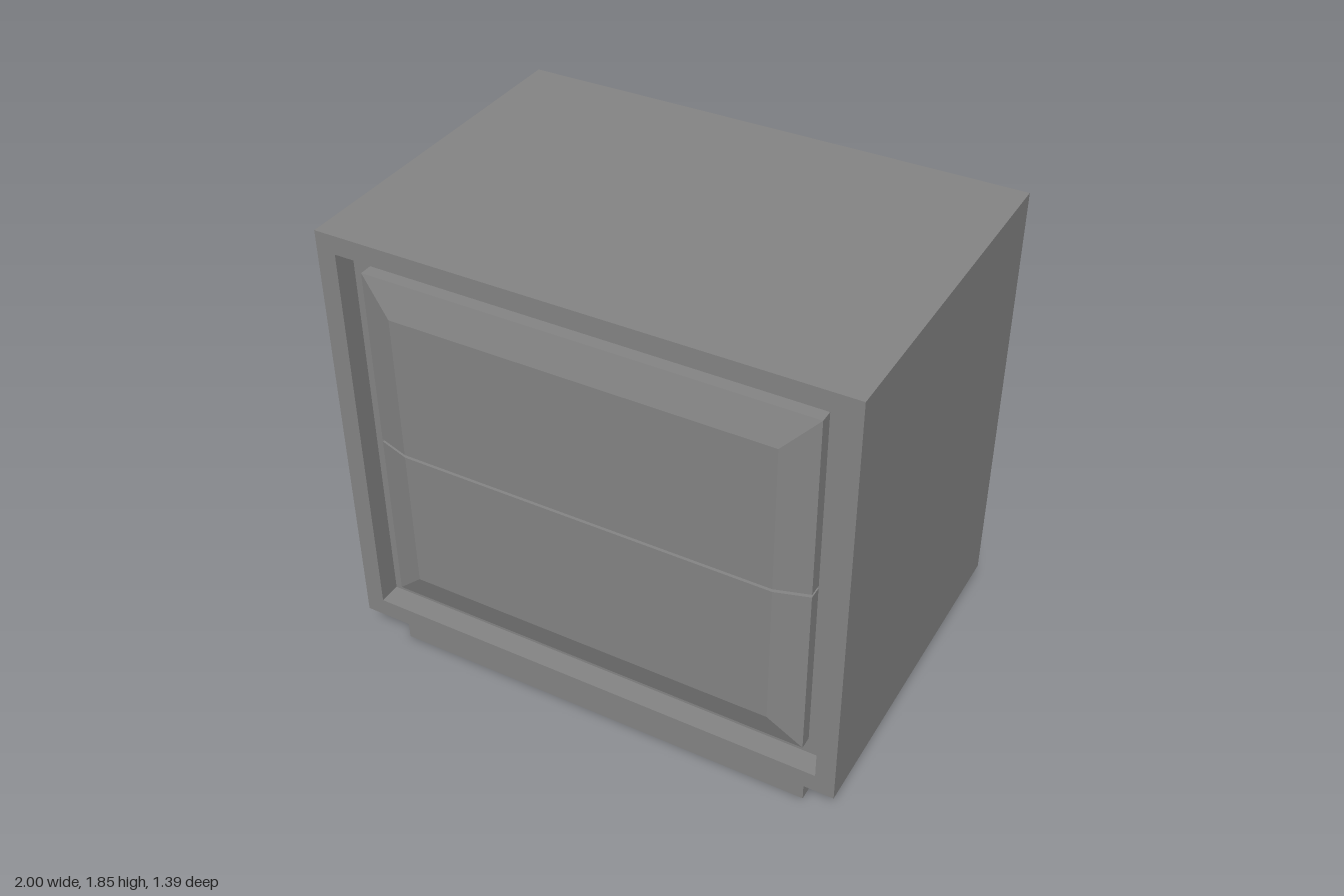
import * as THREE from 'three';

const material = new THREE.MeshStandardMaterial({ color: 0x848484, flatShading: true });

// Skins a series of rectangles [x half-width, y low, y high, z], back to front, capped at both ends
function rectLoft(name, rings) {
  const loops = rings.map(([w, y0, y1, z]) => [
    [-w, y0, z], [w, y0, z], [w, y1, z], [-w, y1, z],
  ]);
  const pos = [];
  const quad = (a, b, c, d) => pos.push(...a, ...b, ...c, ...a, ...c, ...d);
  for (let i = 0; i < loops.length - 1; i++) {
    for (let j = 0; j < 4; j++) {
      const k = (j + 1) % 4;
      quad(loops[i][j], loops[i][k], loops[i + 1][k], loops[i + 1][j]);
    }
  }
  const first = loops[0], last = loops[loops.length - 1];
  quad(first[3], first[2], first[1], first[0]);
  quad(...last);
  const geometry = new THREE.BufferGeometry();
  geometry.setAttribute('position', new THREE.Float32BufferAttribute(pos, 3));
  geometry.computeVertexNormals();
  const mesh = new THREE.Mesh(geometry, material);
  mesh.name = name;
  return mesh;
}

export function createModel() {
  const group = new THREE.Group();
  group.name = 'nightstand';
  const front = 0.693, recess = 0.605, edge = 0.655, panel = 0.693;

  // Cabinet shell with a shallow recess in its front
  group.add(rectLoft('cabinet', [
    [1, 0.135, 1.848, -front],
    [1, 0.135, 1.848, front],
    [0.925, 0.21, 1.775, front],
    [0.925, 0.21, 1.775, recess],
  ]));

  // Drawer fronts, bevelled on all sides except along the gap between them
  const drawer = (name, y0, y1, inner0, inner1) => group.add(rectLoft(name, [
    [0.855, y0, y1, recess - 0.01],
    [0.855, y0, y1, edge],
    [0.73, inner0, inner1, panel],
  ]));
  drawer('upperDrawer', 1.0, 1.703, 1.0, 1.575);
  drawer('lowerDrawer', 0.28, 0.988, 0.405, 0.988);

  // Plinth set back under the cabinet
  const plinth = new THREE.Mesh(new THREE.BoxGeometry(1.72, 0.135, 1.284), material);
  plinth.name = 'plinth';
  plinth.position.set(0, 0.0675, -0.006);
  group.add(plinth);

  return group;
}
